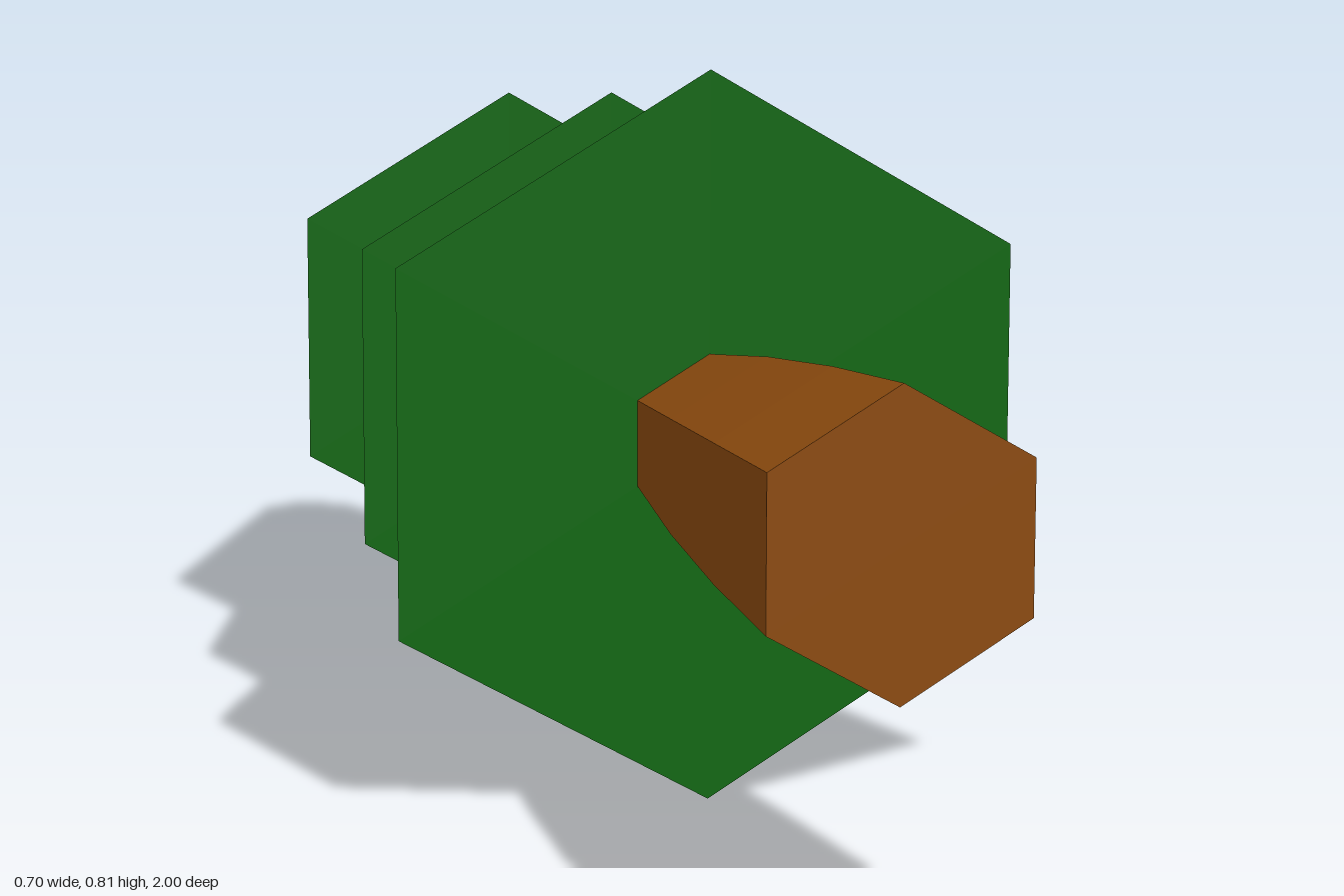
import * as THREE from 'three';

const AXIS_HEIGHT = 0.407;

// Closed six-sided solid along z from rings of [z, radius], listed from front to back
function hexSolid(name, rings, material) {
  const points = [
    new THREE.Vector2(0, -rings[0][0]),
    ...rings.map(([z, r]) => new THREE.Vector2(r, -z)),
    new THREE.Vector2(0, -rings[rings.length - 1][0]),
  ];
  const geometry = new THREE.LatheGeometry(points, 6);
  geometry.rotateX(-Math.PI / 2);
  const mesh = new THREE.Mesh(geometry, material);
  mesh.name = name;
  mesh.position.y = AXIS_HEIGHT;
  return mesh;
}

export function createModel() {
  const model = new THREE.Group();
  model.name = 'lyingPineTree';
  const bark = new THREE.MeshStandardMaterial({ color: 0x8b4a0e, flatShading: true });
  const needles = new THREE.MeshStandardMaterial({ color: 0x0f6610, flatShading: true });

  // Trunk, narrowing in a gentle curve towards the branches
  model.add(hexSolid('trunk', [[1, 0.158], [0.8, 0.143], [0.6, 0.122], [0.405, 0.095]], bark));

  // Three tiers of foliage, each a truncated cone
  const tiers = [
    ['lowerFoliage', [[0.405, 0.406], [0.03, 0.246]]],
    ['middleFoliage', [[0.03, 0.348], [-0.43, 0.203]]],
    ['upperFoliage', [[-0.43, 0.307], [-1, 0.068]]],
  ];
  for (const [name, rings] of tiers) model.add(hexSolid(name, rings, needles));

  return model;
}
